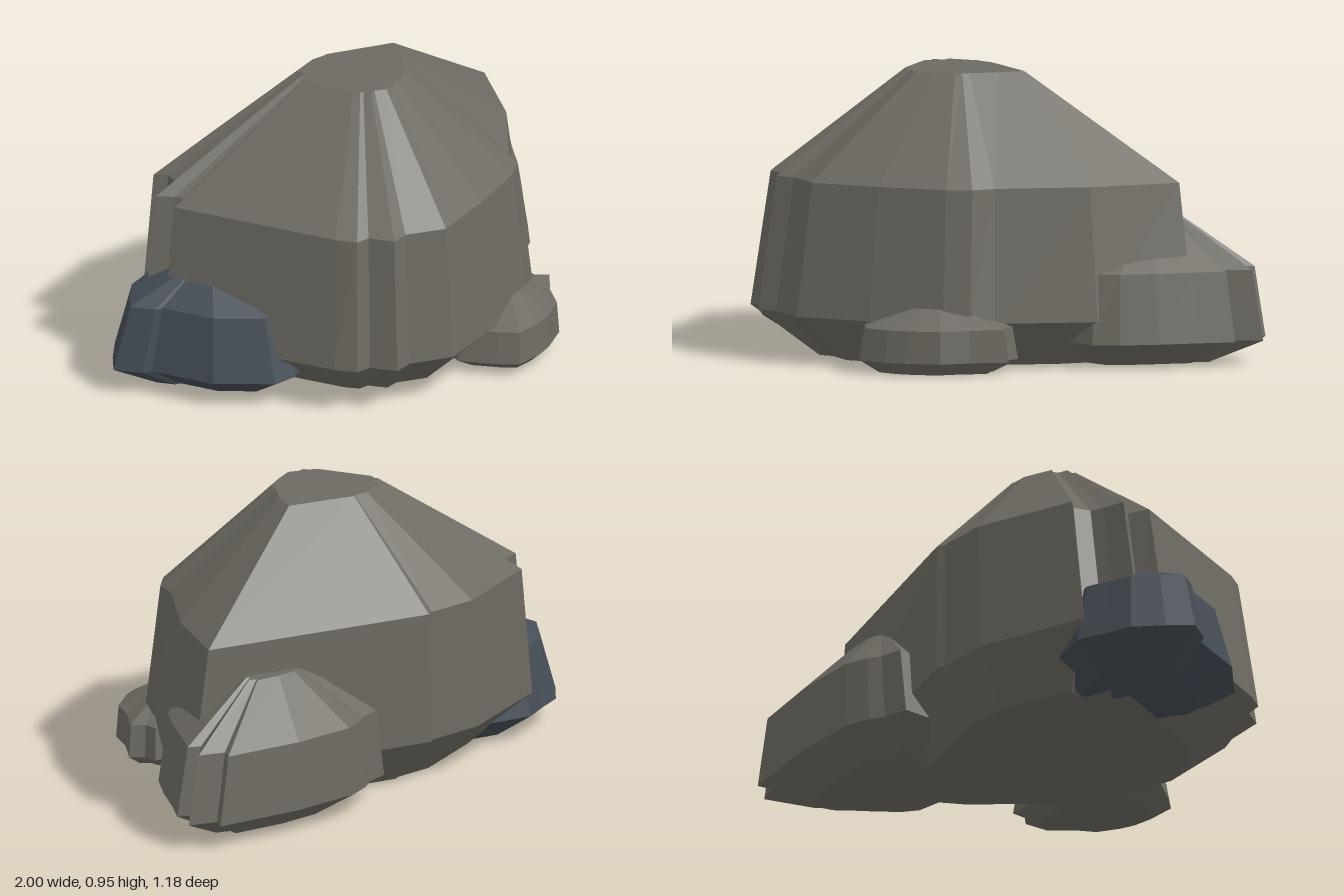
import * as THREE from 'three';

// Stacks scaled copies of one outline (x, z pairs, counter-clockwise from above) into a faceted boulder.
// Each ring is [y, scaleX, shiftX, scaleZ, shiftZ], from the base up.
function boulder(name, outline, rings, material) {
  const n = outline.length;
  const loops = rings.map(([y, sx, ox, sz, oz]) =>
    outline.map(([x, z]) => [x * sx + ox, y, z * sz + oz]));
  const pos = [];
  const tri = (a, b, c) => pos.push(...a, ...b, ...c);

  // Sloping walls between neighbouring rings
  for (let r = 0; r < loops.length - 1; r++) {
    const lo = loops[r], hi = loops[r + 1];
    for (let i = 0; i < n; i++) {
      const j = (i + 1) % n;
      tri(lo[i], lo[j], hi[j]);
      tri(lo[i], hi[j], hi[i]);
    }
  }

  // Flat base and flat top
  const flat = outline.map(([x, z]) => new THREE.Vector2(x, -z));
  const base = loops[0], top = loops[loops.length - 1];
  for (const [a, b, c] of THREE.ShapeUtils.triangulateShape(flat, [])) {
    tri(top[a], top[b], top[c]);
    tri(base[a], base[c], base[b]);
  }

  const geometry = new THREE.BufferGeometry();
  geometry.setAttribute('position', new THREE.Float32BufferAttribute(pos, 3));
  geometry.computeVertexNormals();
  const mesh = new THREE.Mesh(geometry, material);
  mesh.name = name;
  return mesh;
}

// Ring scaled about a centre point
const about = (y, s, cx, cz) => [y, s, cx * (1 - s), s, cz * (1 - s)];

export function createModel() {
  const stone = new THREE.MeshStandardMaterial({ color: 0x6d6a62, flatShading: true });
  stone.name = 'warmGreyStone';
  const slate = new THREE.MeshStandardMaterial({ color: 0x454d56, flatShading: true });
  slate.name = 'blueGreyStone';

  const group = new THREE.Group();
  group.name = 'rockCluster';

  // Large central boulder
  group.add(boulder('mainBoulder', [
    [-0.03, -0.575], [-0.06, -0.565], [-0.26, -0.59], [-0.66, -0.5], [-0.625, -0.46],
    [-0.65, -0.4], [-0.7, -0.385], [-0.79, -0.37], [-0.745, -0.32], [-0.73, -0.29],
    [-0.81, -0.26], [-0.61, 0.34], [-0.57, 0.41], [-0.515, 0.415], [-0.47, 0.5],
    [-0.4, 0.49], [-0.26, 0.56], [0.0, 0.5], [0.25, 0.42], [0.33, 0.37],
    [0.37, 0.29], [0.62, 0.05], [0.81, -0.23],
  ], [
    [0, 0.7, -0.01, 0.7, -0.02],
    [0.162, 1, 0, 1, 0],
    [0.612, 0.915, 0, 0.948, -0.026],
    [0.955, 0.262, -0.038, 0.296, -0.061],
  ], stone));

  // Medium boulder at the back left
  group.add(boulder('sideBoulder', [
    [0.39, -0.585], [0.3, -0.565], [0.25, -0.54], [0.16, -0.53], [0.15, -0.4],
    [0.22, -0.15], [0.42, 0.05], [0.61, 0.065], [0.69, 0.015], [0.78, -0.08],
    [0.87, -0.19], [0.95, -0.28], [0.91, -0.31], [1.0, -0.37], [0.91, -0.42],
    [0.94, -0.46], [0.64, -0.55],
  ], [
    about(0, 0.6, 0.5, -0.26),
    [0.085, 1, 0, 1, 0],
    [0.32, 0.9, 0.05, 0.94, -0.025],
    [0.5, 0.28, 0.36, 0.26, -0.24],
  ], stone));

  // Small stone in front
  group.add(boulder('frontStone', [
    [-0.09, 0.42], [-0.02, 0.53], [0.03, 0.59], [0.13, 0.585], [0.2, 0.565],
    [0.31, 0.51], [0.37, 0.42], [0.46, 0.33], [0.425, 0.29], [0.43, 0.24],
    [0.3, 0.22], [0.08, 0.22], [-0.05, 0.31],
  ], [
    about(0, 0.72, 0.18, 0.4),
    [0.043, 1, 0, 1, 0],
    about(0.152, 0.93, 0.24, 0.42),
    about(0.213, 0.32, 0.2, 0.38),
  ], stone));

  // Bluish boulder at the right
  group.add(boulder('blueBoulder', [
    [-0.64, -0.51], [-0.74, -0.48], [-0.84, -0.455], [-0.93, -0.38], [-1.0, -0.31],
    [-0.95, -0.22], [-0.92, -0.21], [-0.85, 0.01], [-0.71, 0.16], [-0.62, 0.17],
    [-0.42, 0.07], [-0.31, -0.15], [-0.4, -0.42],
  ], [
    about(0, 0.62, -0.58, -0.18),
    [0.085, 1, 0, 1, 0],
    about(0.3, 0.83, -0.6, -0.22),
    about(0.39, 0.3, -0.64, -0.2),
  ], slate));

  return group;
}
